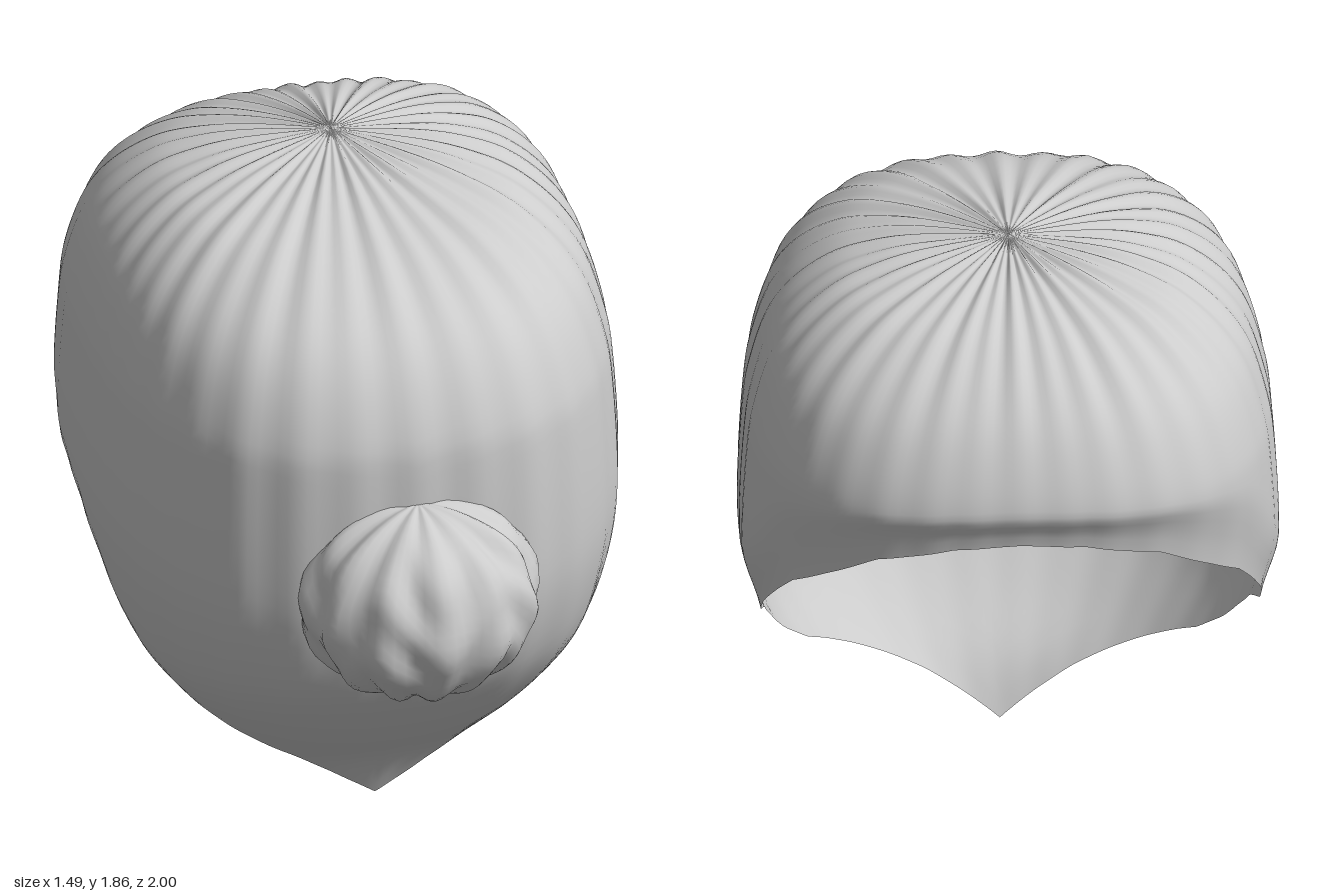
import * as THREE from 'three';
import { mergeVertices } from 'three/addons/utils/BufferGeometryUtils.js';

// Cap sections from crown to chin: height, half width, reach forward, reach back
const SECTIONS = [
  [1.857, 0.004, 0.004, 0.004], [1.835, 0.25, 0.2, 0.15], [1.8, 0.39, 0.39, 0.29],
  [1.75, 0.495, 0.58, 0.42], [1.66, 0.595, 0.76, 0.55], [1.55, 0.665, 0.87, 0.645],
  [1.4, 0.71, 0.945, 0.715], [1.27, 0.73, 0.965, 0.725], [1.0, 0.745, 0.975, 0.715],
  [0.8, 0.735, 0.965, 0.69], [0.6, 0.695, 0.91, 0.62], [0.45, 0.64, 0.82, 0.55],
  [0.3, 0.53, 0.7, 0.45], [0.15, 0.39, 0.56, 0.35], [0, 0.22, 0.485, 0.25],
];
// Height of the open rim by angle from the front, in degrees
const RIM = [[0, 0], [22, 0.15], [37, 0.24], [47, 0.3], [57, 0.36], [66, 0.44], [72, 0.51], [84, 0.63],
  [99, 0.73], [112, 0.87], [125, 1.02], [135, 1.1], [148, 1.2], [165, 1.255], [180, 1.27]];
const AXIS_Z = -0.27;

// Smooth section at a fractional row
function sectionAt(u) {
  const last = SECTIONS.length - 1;
  const i = Math.min(Math.floor(u), last - 1), t = u - i;
  const row = (k) => SECTIONS[THREE.MathUtils.clamp(k, 0, last)];
  return [0, 1, 2, 3].map((c) => {
    const p0 = row(i - 1)[c], p1 = row(i)[c], p2 = row(i + 1)[c], p3 = row(i + 2)[c];
    const m1 = (p2 - p0) / 2, m2 = (p3 - p1) / 2;
    return p1 + t * (m1 + t * (3 * (p2 - p1) - 2 * m1 - m2 + t * (2 * (p1 - p2) + m1 + m2)));
  });
}

function rimHeight(deg) {
  let k = 1;
  while (k < RIM.length - 1 && deg > RIM[k][0]) k++;
  const [a0, y0] = RIM[k - 1], [a1, y1] = RIM[k];
  return THREE.MathUtils.lerp(y0, y1, (deg - a0) / (a1 - a0));
}

// Row parameter at which the cap reaches a given height
function rowAtHeight(y) {
  let lo = 0, hi = SECTIONS.length - 1;
  for (let n = 0; n < 30; n++) {
    const mid = (lo + hi) / 2;
    if (sectionAt(mid)[0] > y) lo = mid; else hi = mid;
  }
  return (lo + hi) / 2;
}

// Open pleated shell, cut along the slanting rim
function capGeometry() {
  const cols = 216, rows = 44, pos = [], index = [];
  const { smoothstep } = THREE.MathUtils;
  for (let j = 0; j < cols; j++) {
    const a = (j / cols) * Math.PI * 2;
    const sx = Math.sin(a), cz = Math.cos(a);
    const deg = Math.min(180, THREE.MathUtils.radToDeg(Math.acos(THREE.MathUtils.clamp(cz, -1, 1))));
    const uRim = rowAtHeight(rimHeight(deg));
    const pleat = 0.7 * Math.cos(36 * a) + 0.3 * Math.cos(22 * a);
    for (let i = 0; i <= rows; i++) {
      const v = i / rows, u = v * uRim;
      const [y, side, front, back] = sectionAt(u);
      const depth = cz > 0 ? front : back, p = 2.6;
      let r = (Math.abs(sx / side) ** p + Math.abs(cz / depth) ** p) ** (-1 / p);
      const crown = smoothstep(u, 0, 1) * (1 - smoothstep(u, 3, 6));
      r *= 1 + 0.006 * (pleat - 0.6) * (1 - 0.7 * smoothstep(v, 0.5, 1));
      // Rim tucks inwards along the sides and back
      r *= 1 - 0.045 * smoothstep(v, 0.88, 1) * smoothstep(deg, 40, 90);
      pos.push(r * sx, y + 0.008 * crown * (pleat - 0.5), AXIS_Z + r * cz);
      if (i < rows) {
        const A = j * (rows + 1) + i, B = ((j + 1) % cols) * (rows + 1) + i;
        index.push(A, A + 1, B, B, A + 1, B + 1);
      }
    }
  }
  const g = new THREE.BufferGeometry();
  g.setAttribute('position', new THREE.Float32BufferAttribute(pos, 3));
  g.setIndex(index);
  g.computeVertexNormals();
  return g;
}

// Ruffled ball gathered at its top and bottom
function pomGeometry() {
  let g = new THREE.SphereGeometry(1, 72, 28);
  g.deleteAttribute('uv');
  g.deleteAttribute('normal');
  g = mergeVertices(g, 1e-4);
  const p = g.attributes.position, q = new THREE.Vector3();
  for (let i = 0; i < p.count; i++) {
    q.fromBufferAttribute(p, i);
    const a = Math.atan2(q.x, q.z), ring = Math.sqrt(Math.max(0, 1 - q.y * q.y));
    const lobe = Math.cos(12 * a) * Math.min(1, ring * 1.4);
    const lump = Math.sin(9 * q.y + 3 * Math.cos(5 * a)) * ring;
    q.multiplyScalar(0.965 + 0.035 * lobe + 0.022 * lump);
    p.setXYZ(i, q.x * 0.34, q.y * 0.3, q.z * 0.315);
  }
  g.computeVertexNormals();
  return g;
}

export function createModel() {
  const group = new THREE.Group();
  const grey = new THREE.MeshStandardMaterial({ color: 0xcccccc, side: THREE.DoubleSide });
  grey.name = 'light grey';

  const cap = new THREE.Mesh(capGeometry(), grey);
  cap.name = 'cap';

  const pom = new THREE.Mesh(pomGeometry(), grey);
  pom.name = 'pompom';
  pom.position.set(0, 0.92, 0.69);

  group.add(cap, pom);
  return group;
}
